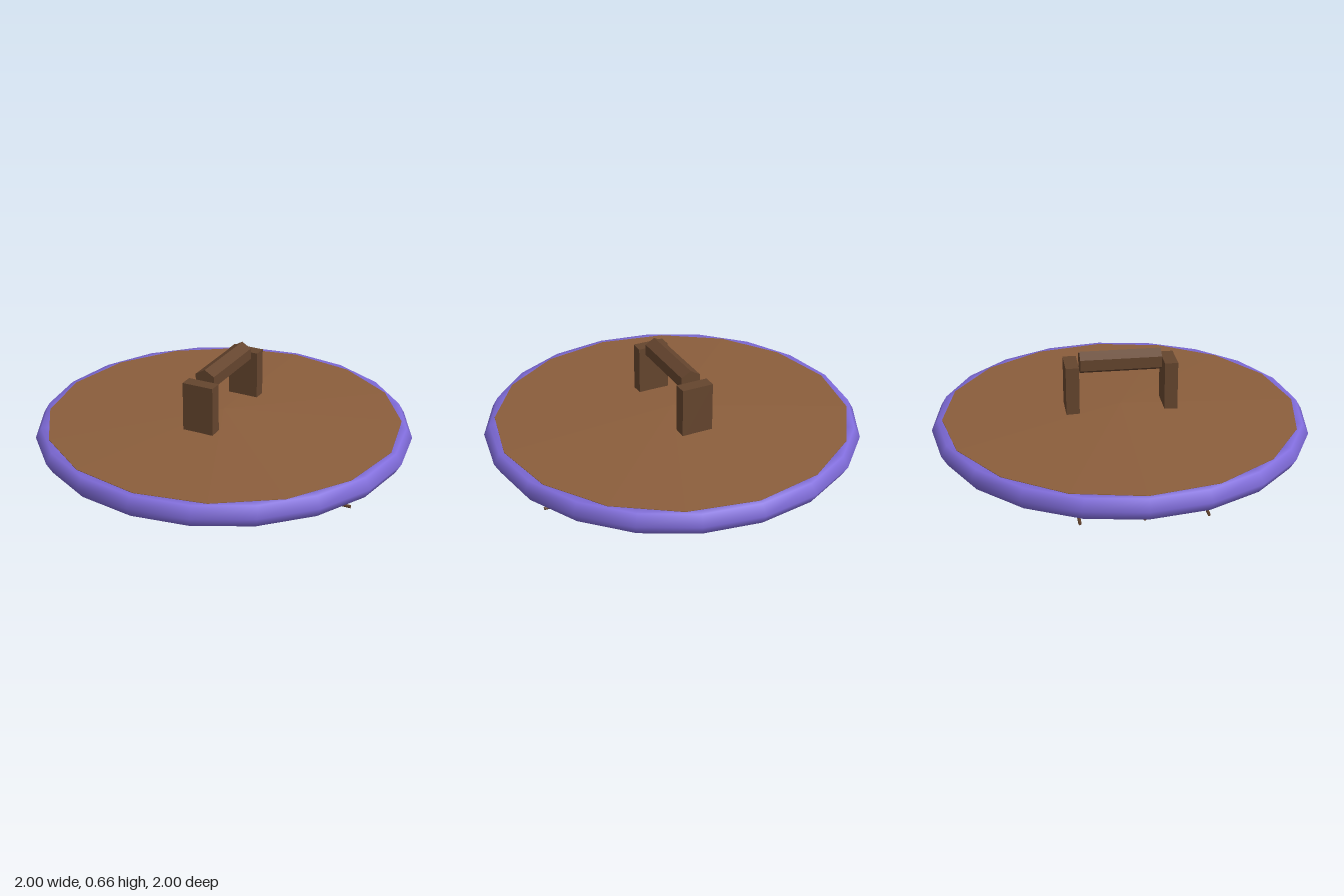
import * as THREE from 'three';

const mat = (name, color) => new THREE.MeshStandardMaterial({ name, color });

export function createModel() {
  const wood = mat('wood', 0x8b5e3c);
  const darkWood = mat('dark wood', 0x65452e);
  const purple = mat('purple', 0x806cdb);
  const mauve = mat('mauve', 0xb090d0);
  const silver = mat('silver', 0xcccccc);

  const model = new THREE.Group();
  model.name = 'shield';
  const add = (name, geometry, material, x = 0, y = 0, z = 0) => {
    const mesh = new THREE.Mesh(geometry, material);
    mesh.name = name;
    mesh.position.set(x, y, z);
    model.add(mesh);
    return mesh;
  };
  // Faceted copy of a geometry
  const facet = (geometry) => {
    const g = geometry.toNonIndexed();
    g.computeVertexNormals();
    return g;
  };

  // Board: shallow cone on both faces, with a thin straight edge
  const profile = [[0, 0.148], [0.943, 0.198], [0.943, 0.312], [0, 0.352]]
    .map(([r, y]) => new THREE.Vector2(r, y));
  add('board', facet(new THREE.LatheGeometry(profile, 16)), wood);

  // Rim and inner ring
  const ring = (radius, tube) => new THREE.TorusGeometry(radius, tube, 6, 20).rotateX(-Math.PI / 2);
  add('rim', ring(0.9365, 0.0635), purple, 0, 0.255, 0);
  add('bossRing', ring(0.43, 0.017), mauve, 0, 0.115, 0);

  // Central boss: flattened ball with its poles on the x axis
  const boss = new THREE.SphereGeometry(0.25, 10, 5).rotateZ(Math.PI / 2).scale(1, 0.5, 1);
  add('boss', boss, purple, 0, 0.12, 0);

  // Studs in a circle
  const stud = new THREE.SphereGeometry(0.04, 6, 6).rotateZ(Math.PI / 2);
  for (let i = 0; i < 8; i++) {
    const a = (i * Math.PI) / 4;
    add('stud', stud, silver, 0.73 * Math.cos(a), 0.155, 0.73 * Math.sin(a));
  }

  // Face bars, with thin rods crossing them
  for (const x of [-0.43, 0.43]) {
    add('faceBar', new THREE.BoxGeometry(0.105, 0.035, 1.37), purple, x, 0.148, 0);
  }
  for (const z of [-0.31, 0, 0.31]) {
    add('rod', new THREE.CylinderGeometry(0.008, 0.008, 1.71, 6).rotateZ(Math.PI / 2), darkWood, 0, 0.135, z);
  }

  // Handle: two posts and a hexagonal grip
  for (const z of [-0.26, 0.26]) {
    add('handlePost', new THREE.BoxGeometry(0.17, 0.28, 0.07), darkWood, 0, 0.46, z);
  }
  const grip = facet(new THREE.CylinderGeometry(0.06, 0.06, 0.43, 6).rotateX(Math.PI / 2));
  add('handleGrip', grip, darkWood, 0, 0.597, 0);

  return model;
}
